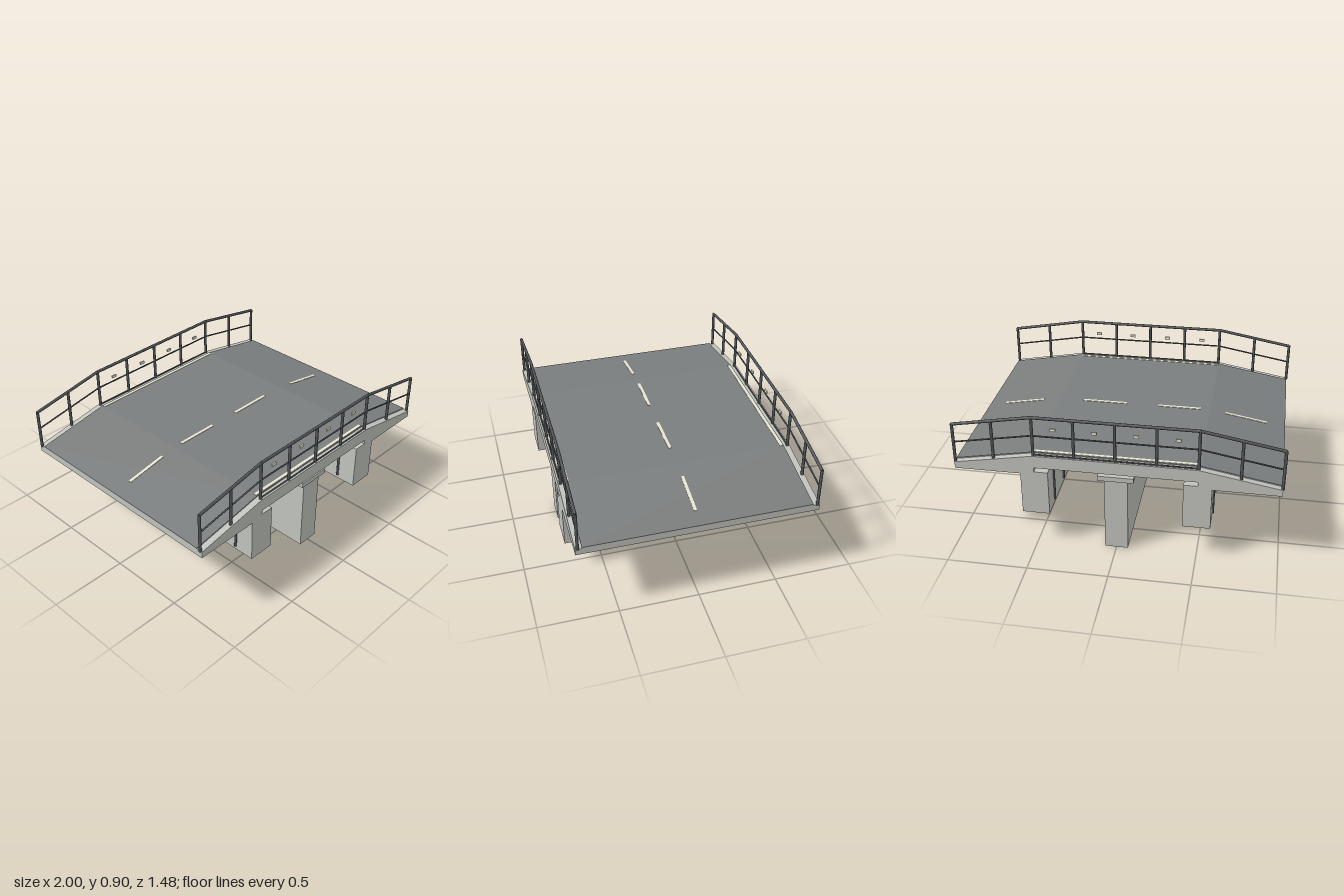
import * as THREE from 'three';

const mat = (name, color) => {
  const m = new THREE.MeshStandardMaterial({ color });
  m.name = name;
  return m;
};

// Height of the road surface (flat crown with a ramp at each end)
const CROWN = 0.5, END = 0.99;
const roadY = (x) => 0.644 - 0.087 * Math.max(0, (Math.abs(x) - CROWN) / (END - CROWN));

export function createModel() {
  const concrete = mat('concrete', 0xc1c3bd);
  const asphalt = mat('asphalt', 0x7b7e7e);
  const steel = mat('dark steel', 0x505355);
  const paint = mat('pale road paint', 0xebe9d5);

  const model = new THREE.Group();
  model.name = 'bridge';

  const add = (parent, name, geometry, material, x = 0, y = 0, z = 0) => {
    const mesh = new THREE.Mesh(geometry, material);
    mesh.name = name;
    mesh.position.set(x, y, z);
    parent.add(mesh);
    return mesh;
  };
  // Box given by its x and y ranges, its depth and the middle of its depth
  const block = (parent, name, material, x0, x1, y0, y1, depth, z = 0) =>
    add(parent, name, new THREE.BoxGeometry(x1 - x0, y1 - y0, depth), material,
      (x0 + x1) / 2, (y0 + y1) / 2, z);
  // Side profile extruded across the width of the bridge
  const slab = (name, points, width, material) => {
    const shape = new THREE.Shape(points.map(([x, y]) => new THREE.Vector2(x, y)));
    const g = new THREE.ExtrudeGeometry(shape, { depth: width, bevelEnabled: false });
    return add(model, name, g, material, 0, 0, -width / 2);
  };
  // Layer that follows the road, between two depths below its surface
  const xs = [-END, -CROWN, CROWN, END];
  const layer = (name, top, bottom, width, material) => slab(name, [
    ...xs.map((x) => [x, roadY(x) - bottom]),
    ...[...xs].reverse().map((x) => [x, roadY(x) - top]),
  ], width, material);
  // Painted line lying on the road
  const line = (name, x0, x1, z) => {
    const dy = roadY(x1) - roadY(x0);
    const m = add(model, name, new THREE.BoxGeometry(Math.hypot(x1 - x0, dy), 0.005, 0.02), paint,
      (x0 + x1) / 2, (roadY(x0) + roadY(x1)) / 2, z);
    m.rotation.z = Math.atan2(dy, x1 - x0);
  };
  // Round rod between two points in the xy plane
  const rod = (parent, name, a, b, radius, z) => {
    const dx = b[0] - a[0], dy = b[1] - a[1];
    const m = add(parent, name, new THREE.CylinderGeometry(radius, radius, Math.hypot(dx, dy), 12),
      steel, (a[0] + b[0]) / 2, (a[1] + b[1]) / 2, z);
    m.rotation.z = Math.atan2(-dx, dy);
  };

  // Deck with solid ramps and a recess under the middle span
  slab('deck', [
    [-END, 0.508], [-0.495, 0.508], [-0.495, 0.555], [0.495, 0.555], [0.495, 0.508],
    [END, 0.508], [END, 0.55], [CROWN, 0.637], [-CROWN, 0.637], [-END, 0.55],
  ], 1.48, concrete);

  // Raised road bed with thin asphalt on top
  layer('roadBed', 0.002, 0.008, 1.4, concrete);
  layer('roadSurface', 0, 0.002, 1.4, asphalt);

  // Centre dashes and edge lines
  for (const [x0, x1] of [[-0.87, -0.6], [-0.44, -0.16], [0.05, 0.34], [0.61, 0.88]]) {
    line('centreDash', x0, x1, 0);
  }
  for (const side of [-1, 1]) line('edgeLine', -CROWN, CROWN, side * 0.685);

  // Abutments, each with drain pipes on one face
  const rows = [-0.61, -0.366, -0.122, 0.122, 0.366, 0.61];
  for (const x of [-0.495, 0.495]) {
    block(model, 'abutment', concrete, x - 0.085, x + 0.085, 0.231, 0.527, 1.48);
    for (const z of rows) {
      rod(model, 'drainPipe', [x - 0.088, 0.257], [x - 0.088, 0.51], 0.008, z);
    }
  }

  // Centre pier and its cap
  block(model, 'centrePier', concrete, -0.072, 0.072, 0, 0.495, 1.41);
  block(model, 'pierCap', concrete, -0.11, 0.11, 0.495, 0.527, 1.45);

  // Girders along the span and cross beams between them
  for (const z of rows) block(model, 'girder', concrete, -0.494, 0.494, 0.528, 0.556, 0.035, z);
  for (const x of [-0.48, -0.245, 0, 0.245, 0.48]) {
    block(model, 'crossBeam', concrete, x - 0.014, x + 0.014, 0.532, 0.552, 1.3);
  }

  // Railings on both sides
  for (const side of [-1, 1]) {
    const railing = new THREE.Group();
    railing.name = 'railing';
    model.add(railing);
    const z = side * 0.725;

    for (const x of [-0.988, -0.745, -0.497, -0.248, 0, 0.248, 0.497, 0.745, 0.988]) {
      rod(railing, 'post', [x, roadY(x) - 0.01], [x, roadY(x) + 0.25], 0.0095, z);
    }
    for (const [name, lift, radius] of [['topRail', 0.248, 0.0095], ['midRail', 0.126, 0.005]]) {
      for (let i = 0; i < 3; i++) {
        rod(railing, name, [xs[i], roadY(xs[i]) + lift],
          [xs[i + 1], roadY(xs[i + 1]) + lift], radius, z);
      }
    }
    rod(railing, 'bottomRail', [-CROWN, 0.641], [CROWN, 0.641], 0.005, z);

    // Small reflector plates
    for (const x of [-0.373, -0.125, 0.125, 0.373]) {
      block(railing, 'reflector', paint, x - 0.017, x + 0.017, 0.803, 0.821, 0.009, side * 0.713);
    }
  }
  return model;
}
